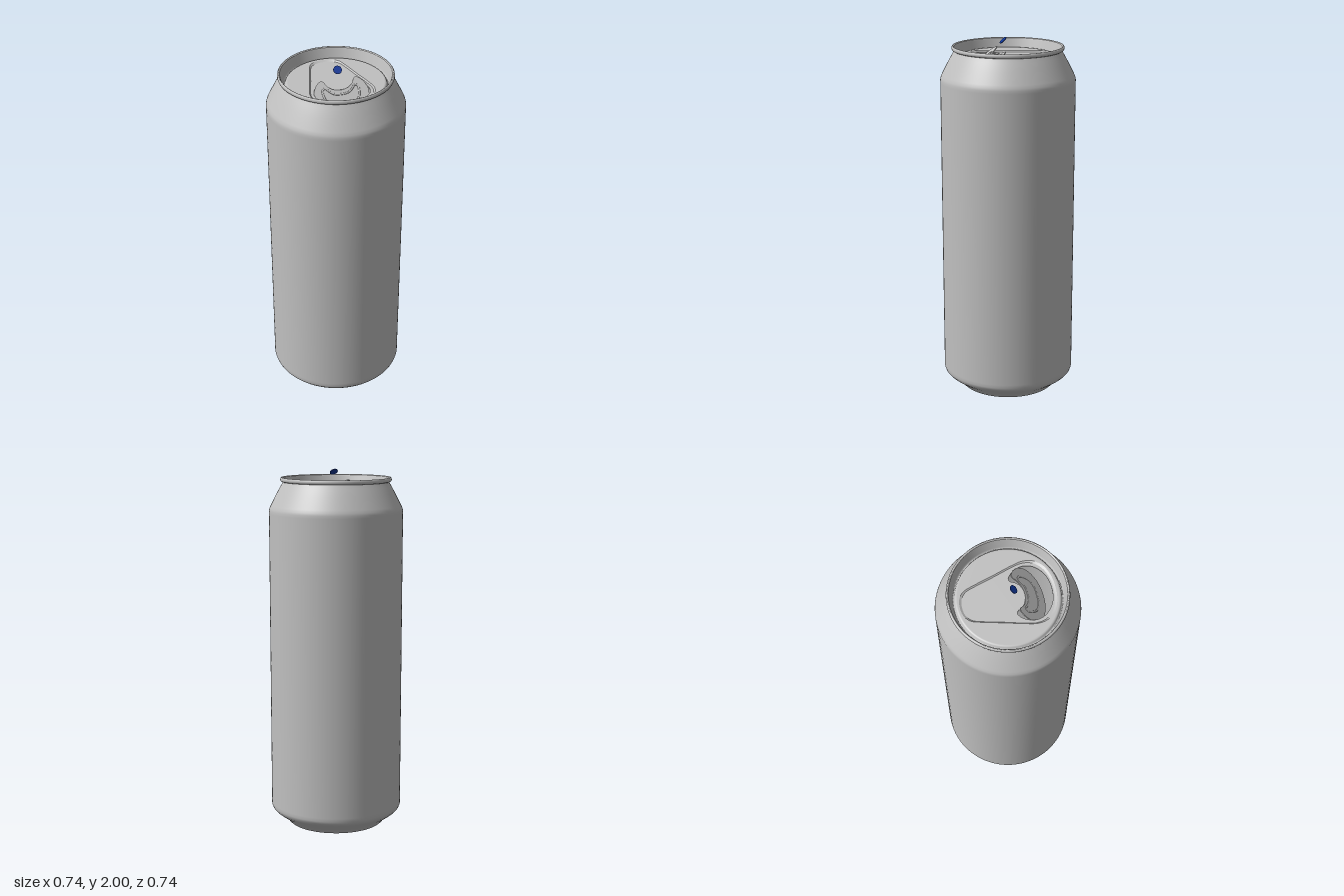
import * as THREE from 'three';

const PANEL_Y = 1.905, FLOOR_Y = 1.898, TILT = 0.744;

// Closed smooth outline mirrored in x, from half-outline points [x, z]
function outline(half, n) {
  const pts = half.map(([x, z]) => new THREE.Vector3(x, 0, z));
  const mirrored = half.slice(1, -1).reverse().map(([x, z]) => new THREE.Vector3(-x, 0, z));
  const curve = new THREE.CatmullRomCurve3([...pts, ...mirrored], true);
  return curve.getSpacedPoints(n).slice(0, n);
}

// Outline points become a flat shape (shape y = -z)
const flat = pts => pts.map(p => new THREE.Vector2(p.x, -p.z));

// Band joining two outlines of equal length
function band(a, ya, b, yb) {
  const n = a.length, pos = [], idx = [];
  a.forEach(p => pos.push(p.x, ya, p.z));
  b.forEach(p => pos.push(p.x, yb, p.z));
  for (let i = 0; i < n; i++) {
    const j = (i + 1) % n;
    idx.push(i, j, n + i, j, n + j, n + i);
  }
  const g = new THREE.BufferGeometry();
  g.setAttribute('position', new THREE.Float32BufferAttribute(pos, 3));
  g.setIndex(idx);
  g.computeVertexNormals();
  return g;
}

export function createModel() {
  const model = new THREE.Group();
  const metal = new THREE.MeshStandardMaterial({ color: 0xc0c0c0, side: THREE.DoubleSide });
  metal.name = 'aluminium grey';
  const blue = new THREE.MeshStandardMaterial({ color: 0x10389a });
  blue.name = 'deep blue';

  const add = (name, geometry, material = metal, parent = model) => {
    const mesh = new THREE.Mesh(geometry, material);
    mesh.name = name;
    parent.add(mesh);
    return mesh;
  };
  const lathe = pts => new THREE.LatheGeometry(pts.map(p => new THREE.Vector2(...p)), 96);

  // Concave bottom, domed up into the can
  add('bottomDome', lathe([
    [0, 0.1], [0.06, 0.097], [0.12, 0.088], [0.18, 0.07], [0.22, 0.05], [0.243, 0.03], [0.252, 0.012], [0.257, 0.003], [0.262, 0],
  ]));

  // Side wall with foot, rounded heel and tapered shoulder
  add('body', lathe([
    [0.262, 0], [0.268, 0.002], [0.274, 0.008], [0.285, 0.022], [0.305, 0.039], [0.332, 0.058], [0.352, 0.074],
    [0.363, 0.087], [0.368, 0.102], [0.368, 0.12], [0.368, 1.76], [0.368, 1.775], [0.365, 1.788], [0.358, 1.804],
    [0.325, 1.868], [0.303, 1.908], [0.292, 1.926], [0.288, 1.935],
  ]));

  // Rolled rim
  add('rim', lathe([
    [0.288, 1.932], [0.297, 1.931], [0.303, 1.935], [0.305, 1.942], [0.304, 1.95], [0.3, 1.955], [0.296, 1.955], [0.292, 1.951],
  ]));

  // Sloping wall and groove around the lid panel
  add('lidGroove', lathe([
    [0.292, 1.951], [0.289, 1.944], [0.277, 1.898], [0.274, 1.89], [0.27, 1.888],
    [0.266, 1.891], [0.263, 1.9], [0.258, 1.9045], [0.252, PANEL_Y],
  ]));

  // Lid panel with a shallow teardrop recess
  const teardrop = outline([
    [0, -0.243], [0.045, -0.236], [0.08, -0.208], [0.101, -0.15], [0.13, -0.045], [0.158, 0.05],
    [0.171, 0.115], [0.16, 0.167], [0.122, 0.21], [0.065, 0.234], [0, 0.241],
  ], 96);
  const inner = teardrop.map(p => p.clone().multiplyScalar(0.955));
  const panel = new THREE.Shape().absarc(0, 0, 0.252, 0, Math.PI * 2);
  panel.holes.push(new THREE.Path(flat(teardrop)));
  add('lidPanel', new THREE.ShapeGeometry(panel, 48).rotateX(-Math.PI / 2).translate(0, PANEL_Y, 0));
  add('recessEdge', band(teardrop, PANEL_Y, inner, FLOOR_Y));

  // Recess floor with the drinking opening
  const mouth = outline([
    [0, 0.085], [0.04, 0.077], [0.068, 0.055], [0.08, 0.032], [0.092, 0.024], [0.115, 0.037],
    [0.138, 0.07], [0.147, 0.11], [0.135, 0.155], [0.1, 0.193], [0.055, 0.215], [0, 0.222],
  ], 96);
  const floor = new THREE.Shape(flat(inner));
  floor.holes.push(new THREE.Path(flat(mouth)));
  add('recessFloor', new THREE.ShapeGeometry(floor).rotateX(-Math.PI / 2).translate(0, FLOOR_Y, 0));
  add('openingEdge', band(mouth, FLOOR_Y, mouth, FLOOR_Y - 0.006));

  // Flap pushed down into the can, hinged at the back of the opening
  const flap = new THREE.Group();
  flap.name = 'flap';
  flap.position.set(0, FLOOR_Y, 0.083);
  flap.rotation.x = TILT;
  model.add(flap);
  const plate = new THREE.ExtrudeGeometry(new THREE.Shape(flat(mouth)), { depth: 0.005, bevelEnabled: false });
  add('flapPlate', plate.rotateX(-Math.PI / 2).translate(0, -0.005, -0.083), metal, flap);

  // Raised bead on the flap
  const bead = outline([
    [0, 0.108], [0.04, 0.102], [0.065, 0.082], [0.08, 0.066], [0.094, 0.075], [0.096, 0.105], [0.082, 0.145], [0.045, 0.17], [0, 0.175],
  ], 48);
  const beadCurve = new THREE.CatmullRomCurve3(bead, true);
  const beadGeometry = new THREE.TubeGeometry(beadCurve, 96, 0.005, 8, true).scale(1, 0.6, 1).translate(0, 0, -0.083);
  add('flapBead', beadGeometry, metal, flap);

  // Small tilted disc above the lid
  const disc = add('blueDisc', new THREE.CylinderGeometry(0.0225, 0.0225, 0.004, 32), blue);
  disc.position.set(0, 1.983, 0.028);
  disc.rotation.x = TILT;

  return model;
}
